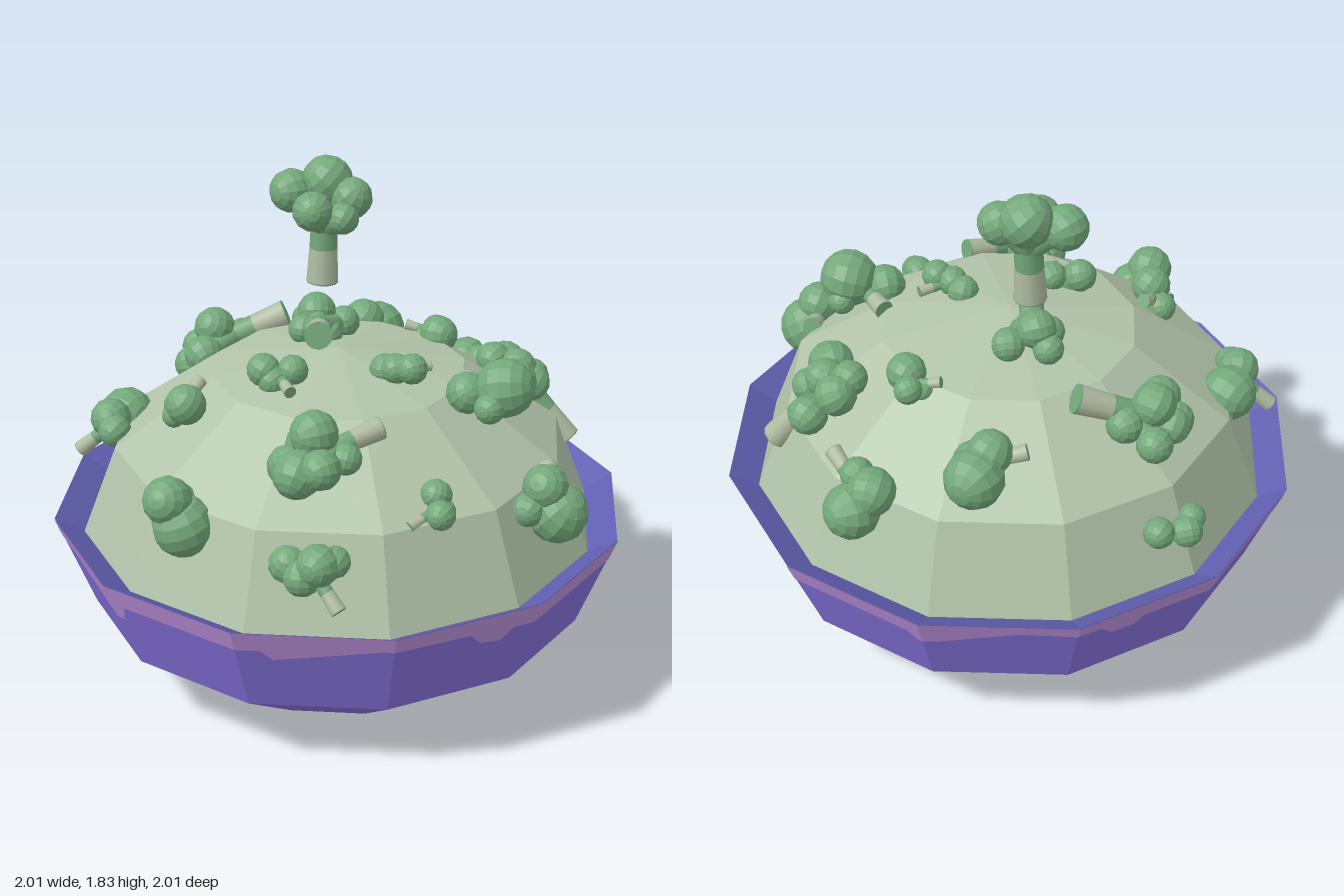
import * as THREE from 'three';
import { mergeGeometries } from 'three/addons/utils/BufferGeometryUtils.js';

const mat = (name, color) => Object.assign(new THREE.MeshStandardMaterial({ color }), { name });
const V = (a) => new THREE.Vector3(a[0], a[1], a[2]);
const RAD = Math.PI / 180;

// faceted copy of a geometry
function facet(geo) {
  const g = geo.toNonIndexed();
  g.deleteAttribute('uv');
  g.computeVertexNormals();
  return g;
}

// twelve-sided lathe with flats facing the axes; profile = [apothem, y]
function dozen(profile) {
  const pts = profile.map(([r, y]) => new THREE.Vector2(r / Math.cos(15 * RAD), y));
  return facet(new THREE.LatheGeometry(pts, 12, 15 * RAD));
}

// smooth tapered rod between two points
function rod(a, b, ra, rb) {
  const d = b.clone().sub(a);
  const g = new THREE.CylinderGeometry(rb, ra, d.length(), 12).toNonIndexed();
  g.deleteAttribute('uv');
  g.applyQuaternion(new THREE.Quaternion().setFromUnitVectors(new THREE.Vector3(0, 1, 0), d.clone().normalize()));
  g.translate((a.x + b.x) / 2, (a.y + b.y) / 2, (a.z + b.z) / 2);
  return g;
}

// glaze band running round the rim, with drips given as [angle, lower y]
function glazeBand(drips, rimY) {
  const pts = drips.slice();
  const heightAt = (t) => {
    const i = drips.findIndex((d) => d[0] >= t);
    const [a, b] = [drips[i - 1], drips[i]];
    return a[1] + ((b[1] - a[1]) * (t - a[0])) / (b[0] - a[0]);
  };
  for (let t = 15; t < 348; t += 30) pts.push([t, heightAt(t)]);
  pts.sort((a, b) => a[0] - b[0]);
  const at = (deg, y) => {
    const apothem = 1.003 - ((0.62 - y) * 0.13) / 0.35;
    const r = apothem / Math.cos((deg - Math.round(deg / 30) * 30) * RAD);
    return [r * Math.sin(deg * RAD), y, r * Math.cos(deg * RAD)];
  };
  const pos = [];
  for (let i = 0; i + 1 < pts.length; i++) {
    const [p, q] = [pts[i], pts[i + 1]];
    const [a, b, c, d] = [at(p[0], p[1]), at(q[0], q[1]), at(q[0], rimY), at(p[0], rimY)];
    pos.push(...a, ...b, ...c, ...a, ...c, ...d);
  }
  const g = new THREE.BufferGeometry();
  g.setAttribute('position', new THREE.Float32BufferAttribute(pos, 3));
  g.computeVertexNormals();
  return g;
}

export function createModel() {
  const model = new THREE.Group();
  const bowlMat = mat('bowl purple', 0x8673de);
  const glazeMat = mat('glaze mauve', 0xbd92dc);
  const insideMat = mat('inside blue', 0x6260b2);
  const soupMat = mat('soup pale green', 0xb2c4aa);
  const stalkMat = mat('cut stalk', 0xb0bca2);
  const floretMat = mat('floret green', 0x74a87b);

  const add = (parent, name, geo, material) => {
    const m = new THREE.Mesh(geo, material);
    m.name = name;
    parent.add(m);
  };

  // bowl, its sloping inner rim and the heaped soup
  add(model, 'bowl', dozen([[0, 0], [0.49, 0], [0.87, 0.27], [1, 0.62]]), bowlMat);
  add(model, 'innerRim', dozen([[1, 0.62], [0.89, 0.554]]), insideMat);
  add(model, 'soup', dozen([[0.9, 0.56], [0.78, 0.88], [0.44, 1.13], [0, 1.21]]), soupMat);

  // dripping glaze
  const drips = [
    [-12, 0.54], [19.8, 0.54], [21.7, 0.5], [26, 0.51], [43, 0.56], [61, 0.55], [64, 0.5], [68.5, 0.49],
    [70.5, 0.54], [106, 0.54], [108, 0.5], [113, 0.505], [127, 0.57], [144, 0.55], [150, 0.51], [155, 0.495],
    [157, 0.54], [192, 0.54], [194, 0.5], [198, 0.505], [214, 0.57], [230, 0.56], [233, 0.5], [238, 0.5],
    [240, 0.54], [275, 0.54], [287, 0.52], [289, 0.49], [293, 0.49], [299, 0.55], [323, 0.55], [345, 0.485],
    [346.6, 0.48], [348, 0.54],
  ];
  add(model, 'rimGlaze', glazeBand(drips, 0.62), glazeMat);

  // broccoli: cut end of the stalk, its radius, then balls as [x, y, z, radius]
  let count = 0;
  function floret(end, r, ...balls) {
    const g = new THREE.Group();
    g.name = 'broccoli' + ++count;
    const a = V(end);
    const head = new THREE.Vector3();
    balls.forEach((b) => head.add(V(b)));
    head.divideScalar(balls.length);
    const tip = a.clone().lerp(head, 0.015);
    const mid = a.clone().lerp(head, 0.42);
    const fork = a.clone().lerp(head, 0.68);
    add(g, 'cutStalk', rod(tip, mid, r, r * 0.88), stalkMat);
    // green end disc, upper stalk, branches and balls
    const green = [rod(a, tip, r, r), rod(mid, fork, r * 0.88, r * 0.85)];
    balls.forEach((b, i) => {
      green.push(rod(fork, V(b), r * 0.8, r * 0.65));
      const ball = new THREE.SphereGeometry(b[3], 12, 8);
      ball.rotateX(i * 0.9 + count * 0.4).rotateZ(i * 0.6 + count * 0.7).translate(b[0], b[1], b[2]);
      green.push(facet(ball));
    });
    add(g, 'floretHead', mergeGeometries(green), floretMat);
    model.add(g);
  }

  // upright piece above the heap
  floret([-0.165, 1.38, -0.13], 0.057, [-0.19, 1.735, -0.2, 0.092], [-0.29, 1.7, -0.12, 0.08],
    [-0.155, 1.665, -0.06, 0.073], [-0.085, 1.69, -0.2, 0.075], [-0.075, 1.635, -0.13, 0.058]);
  // piece lying on the crown
  floret([-0.02, 1.28, 0.1], 0.05, [-0.19, 1.26, -0.13, 0.07], [-0.25, 1.21, -0.15, 0.055],
    [-0.12, 1.21, -0.2, 0.06], [-0.2, 1.21, -0.06, 0.055], [-0.12, 1.2, -0.1, 0.055]);
  // back
  floret([0.25, 0.95, -0.73], 0.03, [0.1, 0.83, -0.84, 0.1], [0.05, 0.9, -0.79, 0.085], [0.13, 0.92, -0.76, 0.06]);
  floret([-0.385, 1.06, -0.5], 0.03, [-0.27, 1.0, -0.65, 0.105], [-0.28, 1.06, -0.57, 0.08], [-0.21, 1.0, -0.57, 0.065]);
  floret([0.6, 0.78, -0.61], 0.05, [0.42, 0.97, -0.64, 0.07], [0.35, 1.04, -0.57, 0.075], [0.47, 1.04, -0.43, 0.083],
    [0.34, 1.07, -0.5, 0.065], [0.49, 1.0, -0.53, 0.065], [0.43, 1.05, -0.52, 0.072]);
  floret([0, 1.15, -0.435], 0.02, [0.085, 1.13, -0.51, 0.05], [0.14, 1.14, -0.44, 0.07], [0.06, 1.11, -0.46, 0.04]);
  // left side of the model
  floret([0.42, 1.13, -0.17], 0.035, [0.615, 1.165, -0.11, 0.105], [0.5, 1.14, -0.05, 0.075],
    [0.61, 1.12, -0.02, 0.055], [0.6, 1.11, -0.18, 0.05]);
  floret([0.78, 0.9, -0.14], 0.035, [0.885, 0.8, -0.03, 0.107], [0.85, 0.9, 0, 0.08], [0.82, 0.83, 0.06, 0.06]);
  floret([0.33, 1.19, -0.08], 0.02, [0.21, 1.18, 0.02, 0.058], [0.32, 1.21, 0.02, 0.055], [0.26, 1.2, 0.03, 0.055]);
  floret([0.61, 0.88, 0.48], 0.02, [0.62, 0.94, 0.33, 0.055], [0.67, 0.9, 0.38, 0.052], [0.65, 0.89, 0.34, 0.048]);
  // front
  floret([0.39, 1.12, 0.32], 0.04, [0.26, 1.14, 0.52, 0.083], [0.18, 1.06, 0.47, 0.065], [0.2, 1.03, 0.58, 0.075],
    [0.27, 1.04, 0.63, 0.085], [0.35, 1.07, 0.61, 0.07], [0.36, 1.06, 0.48, 0.055]);
  floret([0.52, 0.66, 0.75], 0.028, [0.43, 0.8, 0.74, 0.073], [0.31, 0.77, 0.74, 0.07], [0.38, 0.75, 0.76, 0.065],
    [0.46, 0.8, 0.69, 0.055]);
  floret([-0.25, 0.88, 0.745], 0.025, [-0.11, 0.92, 0.84, 0.085], [-0.07, 0.825, 0.81, 0.107], [-0.13, 0.88, 0.77, 0.07]);
  floret([-0.335, 1.13, 0.37], 0.025, [-0.29, 1.1, 0.51, 0.072], [-0.36, 1.06, 0.46, 0.055], [-0.35, 1.04, 0.5, 0.045]);
  floret([0.04, 1.17, 0.35], 0.022, [-0.11, 1.2, 0.3, 0.06], [-0.025, 1.2, 0.245, 0.055], [-0.07, 1.17, 0.3, 0.055]);
  // right side of the model
  floret([-0.81, 0.78, 0.49], 0.03, [-0.71, 0.89, 0.34, 0.1], [-0.69, 0.92, 0.45, 0.075], [-0.64, 0.9, 0.49, 0.06]);
  floret([-0.88, 0.66, -0.2], 0.022, [-0.86, 0.74, -0.24, 0.057], [-0.8, 0.77, -0.33, 0.055], [-0.85, 0.76, -0.19, 0.05]);
  floret([-0.43, 1.15, -0.27], 0.052, [-0.64, 1.1, -0.1, 0.078], [-0.69, 1.0, -0.18, 0.065], [-0.6, 1.04, 0.02, 0.073],
    [-0.67, 0.98, 0, 0.068], [-0.58, 1.05, -0.19, 0.068], [-0.7, 1.02, -0.08, 0.065]);

  return model;
}
